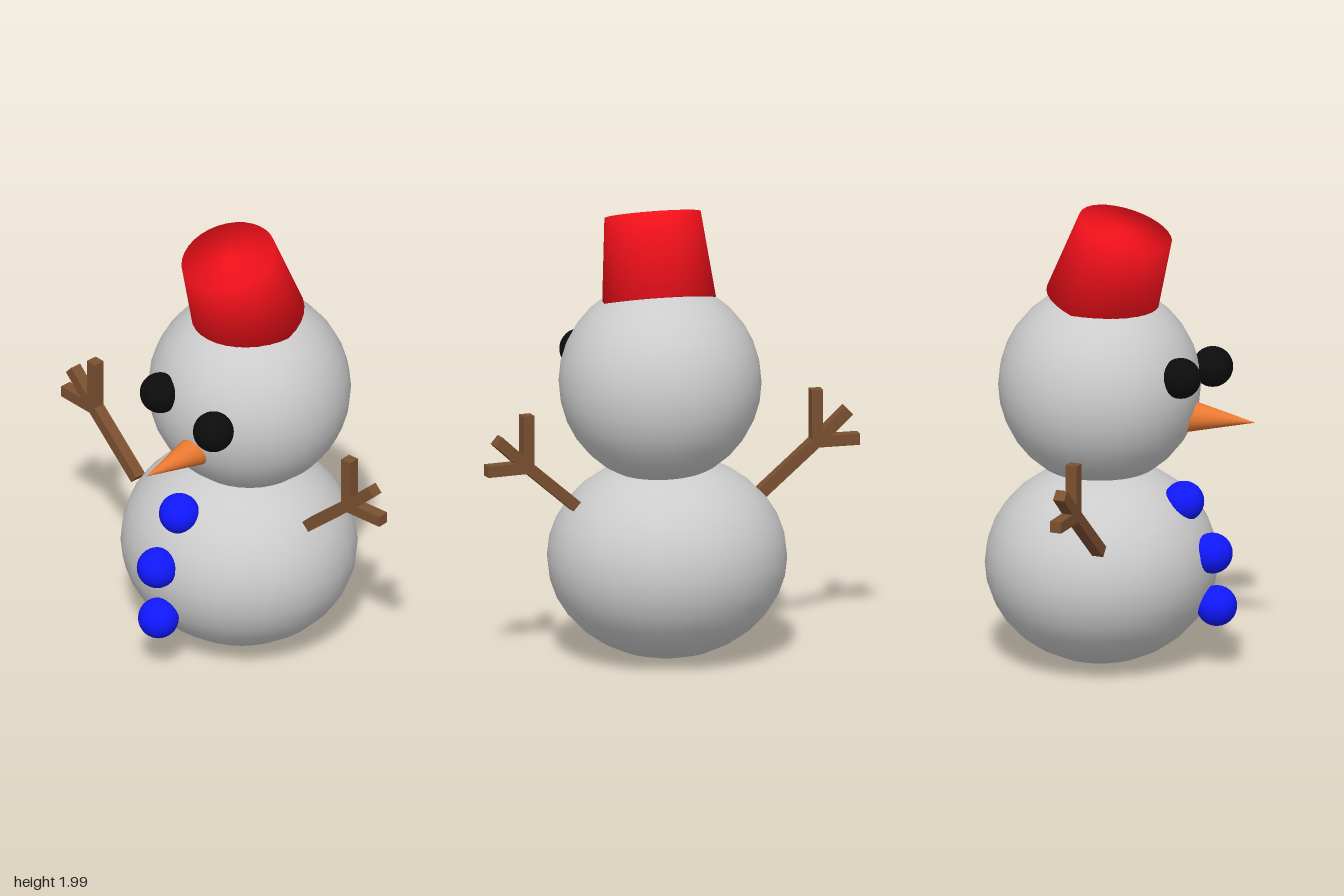
import * as THREE from 'three';

const mat = (color, opts = {}) => new THREE.MeshStandardMaterial({ color, ...opts });

export function createModel() {
  const model = new THREE.Group();
  model.name = 'snowman';

  const snow = mat(0xcccccc);
  const coal = mat(0x0c0c0c);
  const blue = mat(0x1018ff);
  const red = mat(0xf0101a);
  const orange = mat(0xe87830);
  const wood = mat(0x7a5030);

  const add = (parent, name, geometry, material, x = 0, y = 0, z = 0) => {
    const mesh = new THREE.Mesh(geometry, material);
    mesh.name = name;
    mesh.position.set(x, y, z);
    parent.add(mesh);
    return mesh;
  };
  const ball = (name, r, material, x, y, z) =>
    add(model, name, new THREE.SphereGeometry(r, 32, 16), material, x, y, z);

  // Snowballs: squashed body and round head
  ball('body', 1, snow, 0.04, 0.445, -0.085).scale.set(0.52, 0.44, 0.5);
  ball('head', 0.437, snow, 0.08, 1.225, -0.108);

  // Coal eyes
  ball('rightEye', 0.088, coal, -0.05, 1.325, 0.31);
  ball('leftEye', 0.088, coal, 0.29, 1.285, 0.333);

  // Buttons down the chest
  [[0.045, 0.745, 0.29], [0.04, 0.527, 0.422], [0.06, 0.287, 0.435]].forEach((p, i) =>
    ball(`button${i + 1}`, 0.088, blue, ...p));

  // Carrot nose pointing forward
  const nose = add(model, 'nose', new THREE.ConeGeometry(0.074, 0.32, 32), orange, 0.133, 1.103, 0.425);
  nose.rotation.x = Math.PI / 2;

  // Closed bucket hat, tipped forward
  const h = 0.373;
  const profile = [[0, -h / 2], [0.246, -h / 2], [0.208, h / 2], [0, h / 2]]
    .map(([x, y]) => new THREE.Vector2(x, y));
  const hat = add(model, 'hat', new THREE.LatheGeometry(profile, 32), red, 0.077, 1.757, -0.044);
  hat.rotation.set(0.315, 0, 0.03);

  // Stick arms: square bars meeting at the wrist, mirrored by side
  const bars = [
    ['forearm', -0.275, -0.235, 0.01, 0.01],
    ['upperTwig', 0, -0.02, 0, 0.23],
    ['middleTwig', 0, 0, 0.142, 0.13],
    ['outerTwig', -0.01, 0, 0.19, 0],
  ];
  const makeArm = (name, side, x, y, z) => {
    const arm = new THREE.Group();
    arm.name = name;
    arm.position.set(x, y, z);
    arm.rotation.y = side * 0.065;
    for (const [label, x0, y0, x1, y1] of bars) {
      const dx = side * (x1 - x0), dy = y1 - y0;
      const bar = add(arm, label, new THREE.BoxGeometry(Math.hypot(dx, dy), 0.05, 0.052), wood,
        side * (x0 + x1) / 2, (y0 + y1) / 2, 0);
      bar.rotation.z = Math.atan2(dy, dx);
    }
    model.add(arm);
  };
  makeArm('leftArm', 1, 0.685, 0.893, -0.1);
  makeArm('rightArm', -1, -0.688, 0.862, 0.052);

  return model;
}
